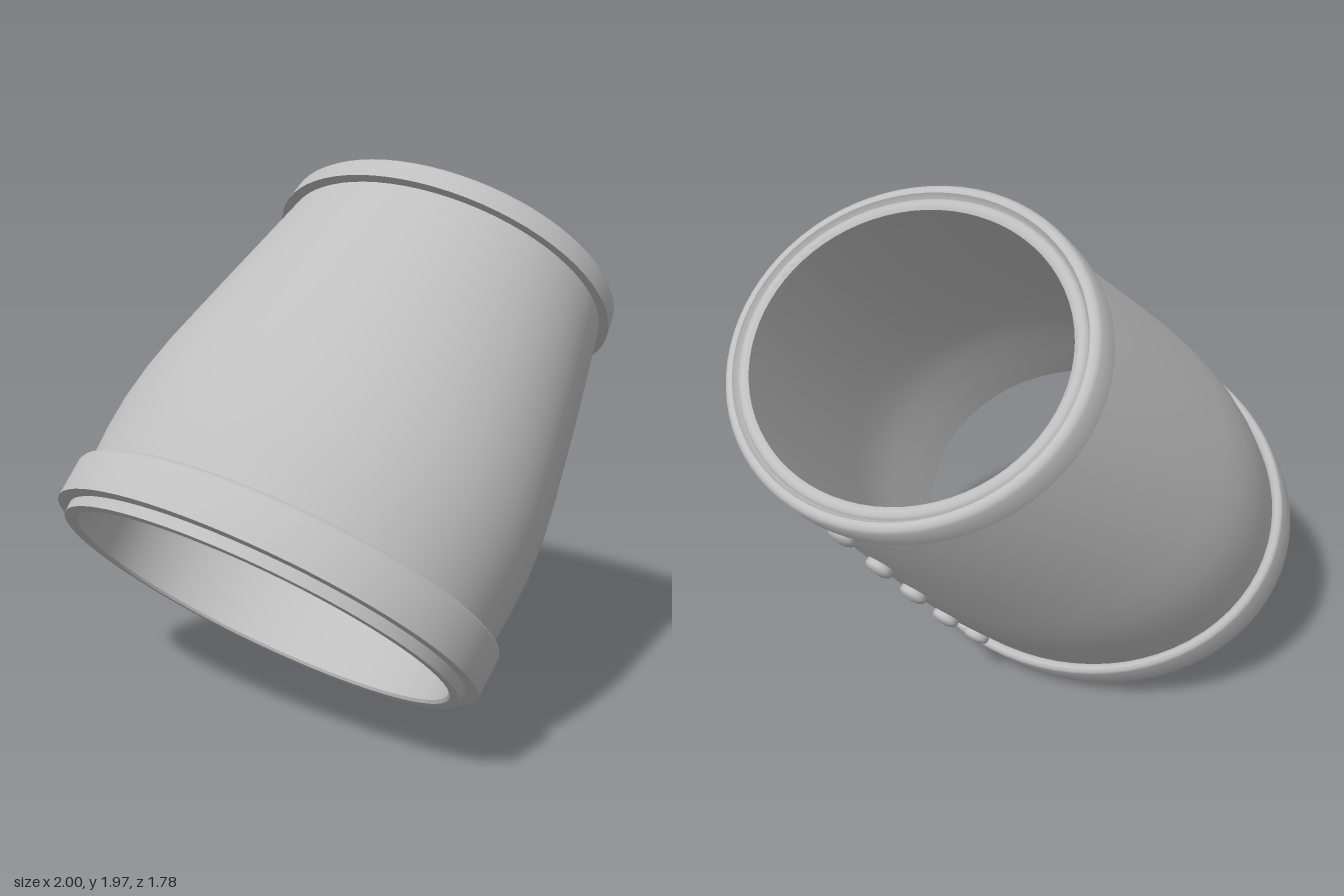
import * as THREE from 'three';
import { toCreasedNormals } from 'three/addons/utils/BufferGeometryUtils.js';

// Oval stations along the sleeve axis: [height, half width x, half width z, centre x]
const STATIONS = [
  [0.0, 0.655, 0.832, -0.676],
  [0.2, 0.667, 0.852, -0.676],
  [0.34, 0.676, 0.866, -0.678],
  [0.47, 0.679, 0.87, -0.677],
  [0.6, 0.673, 0.862, -0.675],
  [0.745, 0.660, 0.839, -0.671],
  [1.1, 0.617, 0.765, -0.654],
  [1.47, 0.566, 0.682, -0.641],
  [1.57, 0.545, 0.655, -0.640],
];

// Oval at any height, interpolated between stations
function ovalAt(h) {
  let i = 0;
  while (i < STATIONS.length - 2 && h > STATIONS[i + 1][0]) i++;
  const p = STATIONS[i], q = STATIONS[i + 1];
  const k = (h - p[0]) / (q[0] - p[0]);
  const [a, b, c] = [1, 2, 3].map((n) => p[n] + (q[n] - p[n]) * k);
  return { a, b, c };
}

// Sweeps a closed profile of [height, offset from the sleeve] around the oval
function ovalRing(profile, segments = 72) {
  const pos = [], index = [], n = profile.length;
  for (const [h, d] of profile) {
    const { a, b, c } = ovalAt(h);
    for (let j = 0; j < segments; j++) {
      const t = (j / segments) * Math.PI * 2;
      pos.push(c + (a + d) * Math.cos(t), h, (b + d) * Math.sin(t));
    }
  }
  for (let i = 0; i < n; i++) {
    for (let j = 0; j < segments; j++) {
      const i2 = (i + 1) % n, j2 = (j + 1) % segments;
      const p = i * segments + j, q = i2 * segments + j;
      const r = i2 * segments + j2, s = i * segments + j2;
      index.push(p, q, r, p, r, s);
    }
  }
  const g = new THREE.BufferGeometry();
  g.setAttribute('position', new THREE.Float32BufferAttribute(pos, 3));
  g.setIndex(index);
  return toCreasedNormals(g, 0.75);
}

export function createModel() {
  const grey = new THREE.MeshStandardMaterial({ color: 0xbfbfbf });
  grey.name = 'grey';
  const model = new THREE.Group();
  model.name = 'cuff';
  const add = (name, geometry) => {
    const mesh = new THREE.Mesh(geometry, grey);
    mesh.name = name;
    model.add(mesh);
    return mesh;
  };

  // Hollow sleeve, open at both ends
  const heights = STATIONS.slice(1, -1).map((s) => s[0]);
  add('sleeve', ovalRing([
    [0, 0], ...heights.map((h) => [h, 0]), [1.535, 0],
    [1.55, -0.01], [1.552, -0.025], [1.54, -0.045],
    ...heights.slice().reverse().map((h) => [h, -0.05]), [0.01, -0.045], [0, -0.035],
  ]));

  // Raised bands with rounded edges
  const band = (h0, h1, d0, d1) => ovalRing([
    [h0, -0.01], [h0, d0], [h1 - 0.018, d1], [h1 - 0.006, d1 - 0.006],
    [h1, d1 - 0.018], [h1 - 0.004, d1 - 0.032], [h1 - 0.018, d1 - 0.042], [h1 - 0.03, -0.01],
  ]);
  add('lowerBand', band(0.038, 0.2, 0.046, 0.04));
  add('upperBand', band(1.47, 1.562, 0.036, 0.046));

  // Row of domed buttons down one side
  const dome = new THREE.LatheGeometry([
    [0, -0.02], [0.046, -0.02], [0.052, -0.008], [0.052, 0.008],
    [0.044, 0.018], [0.025, 0.025], [0, 0.028],
  ].map(([x, y]) => new THREE.Vector2(x, y)), 16);
  for (const h of [0.318, 0.569, 0.828, 1.08, 1.341]) {
    const edge = (y) => ovalAt(y).a + ovalAt(y).c;
    const slope = (edge(h + 0.05) - edge(h - 0.05)) / 0.1;
    const button = add('button', dome);
    button.position.set(edge(h) + 0.01, h, 0);
    button.rotation.z = Math.atan2(-slope, 1) - Math.PI / 2;
  }

  // Lean the whole cuff over to the side
  model.rotation.z = -0.73;
  model.position.y = -0.012;
  const root = new THREE.Group();
  root.name = 'model';
  root.add(model);
  return root;
}
